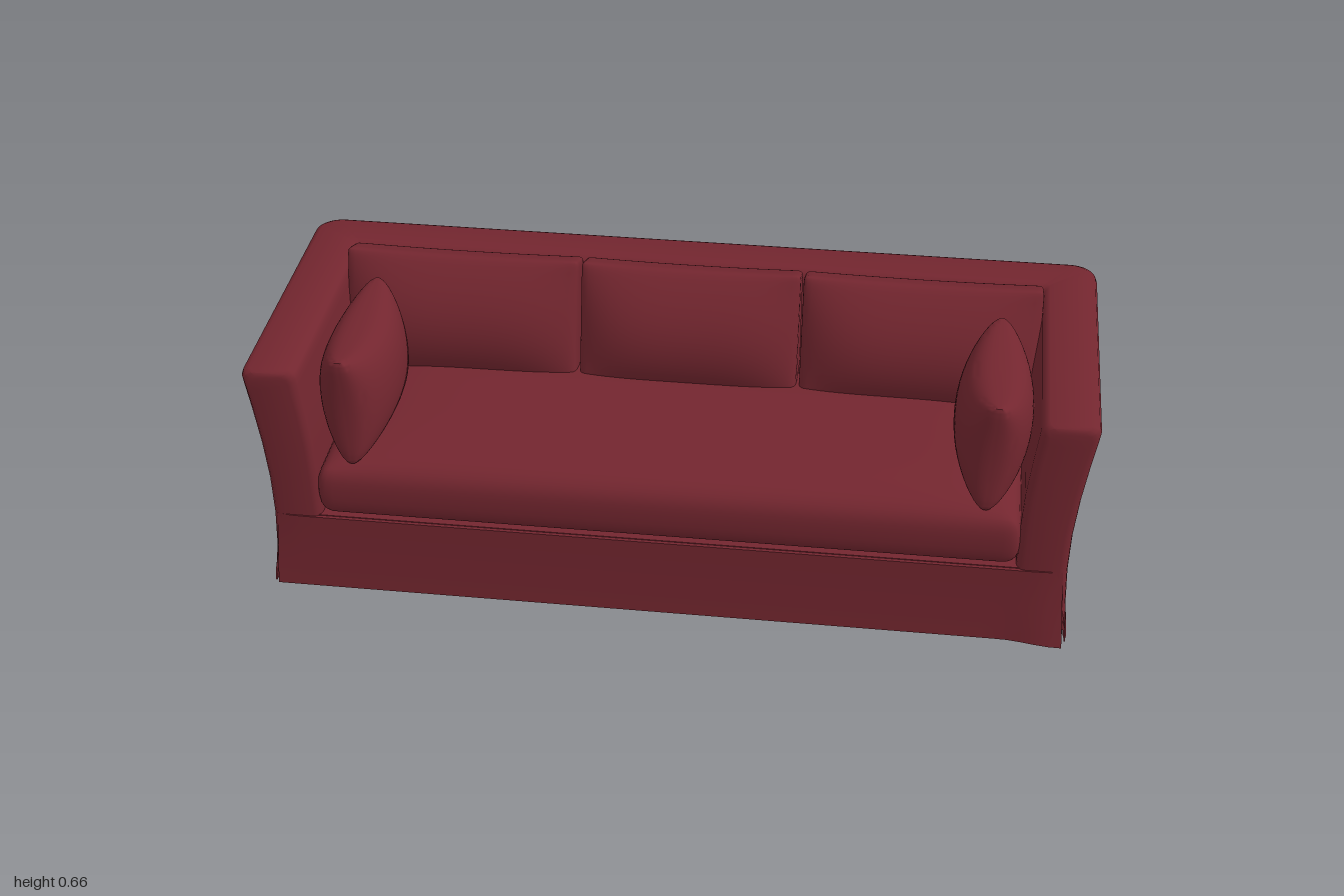
import * as THREE from 'three';
import { mergeVertices, toCreasedNormals } from 'three/addons/utils/BufferGeometryUtils.js';

const fabric = new THREE.MeshStandardMaterial({ color: 0x73262f });
fabric.name = 'wine fabric';
const lining = new THREE.MeshStandardMaterial({ color: 0x7c7c7c });
lining.name = 'grey lining';

// Moves every vertex by a rule, then welds and smooths the surface.
function shapeBy(geometry, rule, crease = 0) {
  geometry.deleteAttribute('normal');
  geometry.deleteAttribute('uv');
  const pos = geometry.attributes.position;
  const p = new THREE.Vector3();
  for (let i = 0; i < pos.count; i++) {
    rule(p.fromBufferAttribute(pos, i));
    pos.setXYZ(i, p.x, p.y, p.z);
  }
  const welded = mergeVertices(geometry, 1e-5);
  if (crease) return toCreasedNormals(welded, crease);
  welded.computeVertexNormals();
  return welded;
}

// Box with rounded edges; puff(p, u, v, w) then swells it, with u, v, w in -1..1.
function softBox(w, h, d, r, puff, segs) {
  const half = new THREE.Vector3(w / 2, h / 2, d / 2);
  const core = half.clone().subScalar(r);
  const inner = new THREE.Vector3();
  return shapeBy(new THREE.BoxGeometry(2, 2, 2, ...segs), (p) => {
    p.set(...p.toArray().map((t) => Math.sin(t * Math.PI / 2))).multiply(half);
    inner.copy(p).clamp(core.clone().negate(), core);
    p.sub(inner).setLength(r).add(inner);
    puff(p, p.x / half.x, p.y / half.y, p.z / half.z);
  });
}

// Square pillow with pinched seams and softly pointed corners, thin along x.
function pillowGeometry(depth, height, thick) {
  return shapeBy(new THREE.BoxGeometry(2, 2, 2, 1, 28, 28), (p) => {
    const v = Math.sin(p.y * Math.PI / 2), w = Math.sin(p.z * Math.PI / 2);
    const swell = Math.pow(Math.max(0, (1 - v * v) * (1 - w * w)), 0.38);
    const corner = 1 - 0.03 * Math.pow(v * w, 8);
    p.x *= 0.003 + swell * thick / 2;
    p.y = v * height / 2 * corner * (1 - 0.12 * (1 - w * w) * Math.abs(v));
    p.z = w * depth / 2 * corner * (1 - 0.04 * (1 - v * v) * Math.abs(w));
  }, 1);
}

// Arms and back: one flared wall section swept around a U-shaped plan.
function shellGeometry() {
  // [outward offset, height], bottom to top on each face
  const outer = [[0.02, 0], [0.016, 0.04], [0.01, 0.1], [0.006, 0.2], [0.009, 0.3], [0.019, 0.4],
    [0.034, 0.5], [0.046, 0.57], [0.049, 0.59], [0.044, 0.603], [0.03, 0.61]];
  const inner = [[0.012, 0], [0.007, 0.035], [-0.11, 0.04], [-0.115, 0.2], [-0.113, 0.3], [-0.108, 0.4],
    [-0.097, 0.5], [-0.088, 0.57], [-0.086, 0.59], [-0.08, 0.603], [-0.068, 0.61]];
  const section = [...outer, ...inner.reverse()];
  const n = section.length;

  // Stations along the plan: a z position on the arms, or an angle on a corner
  const arm = [[0.367, 0.02], [0.364, 0.009], [0.354, 0.002], [0.343, 0]];
  const stations = arm.map(([z, inset]) => ({ side: -1, z, inset }));
  const arc = 8;
  for (let k = 0; k <= arc; k++) stations.push({ side: -1, a: k / arc * Math.PI / 2, inset: 0 });
  for (let k = arc; k >= 0; k--) stations.push({ side: 1, a: k / arc * Math.PI / 2, inset: 0 });
  for (const [z, inset] of [...arm].reverse()) stations.push({ side: 1, z, inset });

  const verts = [], index = [];
  for (const s of stations) {
    section.forEach(([o, y], j) => {
      const gap = (o - section[n - 1 - j][0]) / 2;
      const off = o - Math.sign(gap) * Math.min(s.inset, Math.abs(gap) / 2);
      const top = y - (y > 0.55 ? s.inset * 0.7 : 0);
      // The back hem kicks out a little further than the sides
      const kick = 0.009 * Math.max(0, 1 - y / 0.2) ** 2;
      const hx = 0.95 + off, zb = -0.346 - off - kick;
      if (s.a === undefined) verts.push(s.side * hx, top, s.z);
      else {
        const r = Math.max(0.015, 0.018 + off);
        verts.push(s.side * (hx - r + r * Math.cos(s.a)), top, zb + r - r * Math.sin(s.a));
      }
    });
  }
  const quad = (a, b, c, d) => index.push(a, b, c, a, c, d);
  for (let i = 0; i < stations.length - 1; i++) {
    for (let j = 0; j < n; j++) {
      const k = (j + 1) % n;
      quad(i * n + j, i * n + k, (i + 1) * n + k, (i + 1) * n + j);
    }
  }
  // Front faces of both arms
  const last = (stations.length - 1) * n;
  for (let j = 0; j < n / 2 - 1; j++) {
    quad(j, n - 1 - j, n - 2 - j, j + 1);
    quad(last + j, last + j + 1, last + n - 2 - j, last + n - 1 - j);
  }
  const g = new THREE.BufferGeometry();
  g.setAttribute('position', new THREE.Float32BufferAttribute(verts, 3));
  g.setIndex(index);
  return toCreasedNormals(g, 0.75);
}

export function createModel() {
  const sofa = new THREE.Group();
  sofa.name = 'sofa';
  const add = (name, geometry, material, x = 0, y = 0, z = 0) => {
    const mesh = new THREE.Mesh(geometry, material);
    mesh.name = name;
    mesh.position.set(x, y, z);
    sofa.add(mesh);
    return mesh;
  };

  add('armsAndBack', shellGeometry(), fabric);

  // Underside lining with bevelled ends
  const tray = new THREE.Shape([[-0.94, 0.001], [0.94, 0.001], [0.959, 0.014], [0.955, 0.036],
    [-0.955, 0.036], [-0.959, 0.014]].map(([x, y]) => new THREE.Vector2(x, y)));
  add('baseLining', new THREE.ExtrudeGeometry(tray, { depth: 0.712, bevelEnabled: false }), lining, 0, 0, -0.357);
  add('seatDeck', new THREE.BoxGeometry(1.72, 0.16, 0.64), fabric, 0, 0.125, 0.042);

  // Front skirt, flaring out at the hem and at its loose left corner
  const skirt = shapeBy(new THREE.BoxGeometry(1.89, 0.203, 0.016, 60, 8, 1), (p) => {
    const drop = 0.5 - p.y / 0.203;
    const corner = THREE.MathUtils.smoothstep(p.x, 0.8, 0.93);
    const end = THREE.MathUtils.smoothstep(Math.abs(p.x), 0.9, 0.945);
    p.z += drop * drop * (0.006 + 0.017 * corner) - 0.006 * end * (1 - drop);
    p.x *= 1 + 0.014 * drop;
  }, 0.7);
  add('frontSkirt', skirt, fabric, 0, 0.1015, 0.363);

  // Long seat cushion with a crowned top
  const seat = softBox(1.66, 0.135, 0.58, 0.03, (p, u, v, w) => {
    const crown = (1 - Math.pow(Math.abs(u), 10)) * (1 - Math.pow(Math.abs(w), 4));
    if (v > 0) p.y += 0.045 * v * crown;
    p.x += 0.012 * u * (1 - v * v);
    p.z += 0.009 * w * (1 - v * v);
  }, [40, 12, 24]);
  add('seatCushion', seat, fabric, 0, 0.275, 0.075);

  // Three wedge-shaped back cushions, bulging forward
  const back = softBox(0.586, 0.3, 0.085, 0.014, (p, u, v, w) => {
    const front = (w + 1) / 2;
    const bulge = (1 - Math.pow(Math.abs(u), 4)) * (1 - v * v);
    p.z += front * (0.04 * (1 - v) + 0.055 * bulge);
    if (v > 0) p.y -= v * (0.004 * (1 - u * u) + 0.032 * (1 - front));
  }, [24, 20, 10]);
  for (const [i, name] of ['rightBackCushion', 'middleBackCushion', 'leftBackCushion'].entries()) {
    add(name, back, fabric, (i - 1) * 0.572, 0.512, -0.191).scale.x = i === 1 ? 0.93 : 1;
  }

  // Throw pillows standing against the arms
  const pillow = pillowGeometry(0.415, 0.29, 0.18);
  for (const side of [-1, 1]) {
    const mesh = add(side < 0 ? 'rightPillow' : 'leftPillow', pillow, fabric, side * 0.759, 0.494, 0.147);
    mesh.rotation.z = -side * 0.05;
  }
  return sofa;
}
